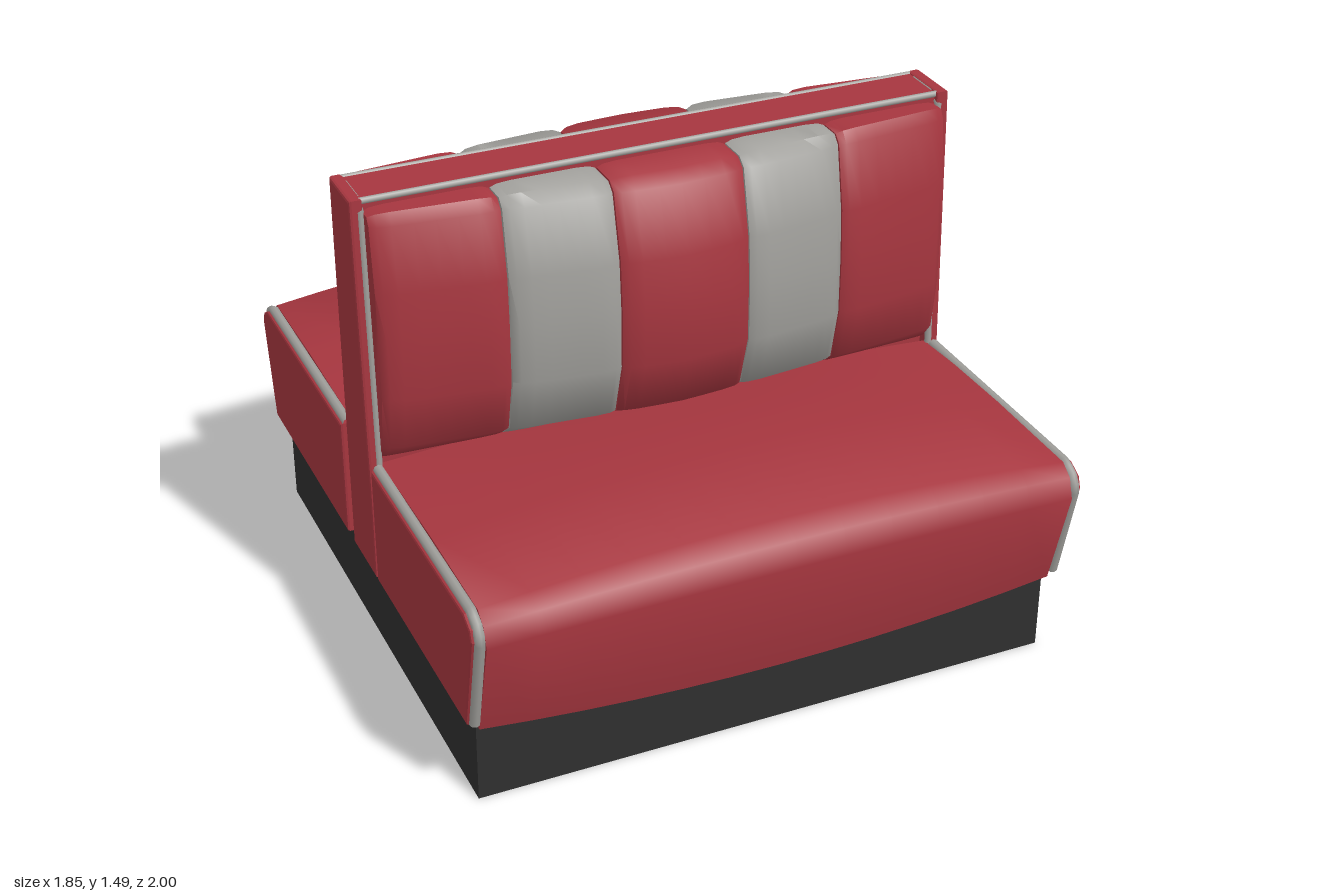
import * as THREE from 'three';
import { toCreasedNormals } from 'three/addons/utils/BufferGeometryUtils.js';

const material = (name, color) => {
  const m = new THREE.MeshStandardMaterial({ color });
  m.name = name;
  return m;
};

// Skin a solid from cross-sections: profile(x) gives [z, y] points for each station
function loft(stations, profile) {
  const rows = stations.map((x) => profile(x).map(([z, y]) => [x, y, z]));
  const n = rows[0].length, last = (rows.length - 1) * n;
  const index = [];
  for (let j = 0; j < rows.length - 1; j++) {
    for (let i = 0; i < n; i++) {
      const a = j * n + i, d = j * n + (i + 1) % n, b = a + n, c = d + n;
      index.push(a, d, c, a, c, b);
    }
  }
  for (let i = 1; i < n - 1; i++) {
    index.push(last, last + i, last + i + 1, 0, i + 1, i);
  }
  const g = new THREE.BufferGeometry();
  g.setAttribute('position', new THREE.Float32BufferAttribute(rows.flat(2), 3));
  g.setIndex(index);
  return toCreasedNormals(g, 0.9);
}

// Flat upholstered panel cut to a [z, y] outline, spanning x0..x1
function sidePanel(outline, x0, x1) {
  const bevel = 0.008;
  const shape = new THREE.Shape(outline.map(([z, y]) => new THREE.Vector2(-z, y)));
  const g = new THREE.ExtrudeGeometry(shape, {
    depth: x1 - x0 - 2 * bevel, bevelThickness: bevel, bevelSize: bevel,
    bevelOffset: -bevel, bevelSegments: 2,
  });
  return g.rotateY(Math.PI / 2).translate(x0 + bevel, 0, 0);
}

// Thin round cord along straight runs
function piping(points, radius) {
  const path = new THREE.CurvePath();
  const v = points.map((p) => new THREE.Vector3(...p));
  for (let i = 0; i < v.length - 1; i++) path.add(new THREE.LineCurve3(v[i], v[i + 1]));
  return new THREE.TubeGeometry(path, 48, radius, 8, false);
}

const range = (a, b, n) => Array.from({ length: n + 1 }, (_, i) => a + (b - a) * i / n);

// Seat cushion section, fuller towards the middle
function seatSection(x) {
  const k = 1 - (x / 0.89) ** 2;
  return [
    [0.85, 0.285], [0.11, 0.285], [0.11, 0.66 + 0.03 * k], [0.3, 0.67 + 0.05 * k],
    [0.55, 0.675 + 0.065 * k], [0.91 + 0.01 * k, 0.67 + 0.055 * k],
    [0.95 + 0.03 * k, 0.64 + 0.045 * k], [0.97 + 0.03 * k, 0.58 + 0.03 * k],
    [0.885 + 0.025 * k, 0.26 - 0.035 * k], [0.86, 0.26 - 0.035 * k],
  ];
}

// Padded back section, dipping at the seams
function backSection(x, dip) {
  const depth = 0.305 - 0.14 * Math.abs(x) ** 1.2 - dip - 0.08;
  const top = 1.46 - dip * 0.6;
  return [
    [0, 0.67], [0, top], [0.53, top], [0.69, 1.425], [0.94, 1.23],
    [1, 1.08], [1, 0.9], [0.74, 0.73], [0.3, 0.68],
  ].map(([f, y]) => [0.08 + depth * f, y]);
}

export function createModel() {
  const red = material('red upholstery', 0xa6363f);
  const grey = material('grey upholstery', 0xa09f9b);
  const dark = material('dark plinth', 0x2f2f2f);

  const model = new THREE.Group();
  model.name = 'doubleBooth';
  const add = (parent, name, geometry, mat) => {
    const mesh = new THREE.Mesh(geometry, mat);
    mesh.name = name;
    parent.add(mesh);
    return mesh;
  };

  // Plinth
  add(model, 'plinth', new THREE.BoxGeometry(1.78, 0.28, 1.71).translate(0, 0.14, 0), dark);

  // Divider between the two benches
  add(model, 'divider', new THREE.BoxGeometry(1.79, 1.205, 0.165).translate(0, 0.8825, 0.0025), red);
  const capOutline = [[-0.08, 0.285], [0.128, 0.285], [0.13, 0.6], [0.098, 1.49], [-0.08, 1.49]];
  const seatOutline = [[0.14, 0.285], [0.885, 0.285], [0.957, 0.6], [0.945, 0.635], [0.9, 0.66], [0.14, 0.66]];

  // Divider end caps with corded edges
  for (const s of [1, -1]) {
    const [x0, x1] = s > 0 ? [0.888, 0.927] : [-0.927, -0.888];
    add(model, 'dividerEndCap', sidePanel(capOutline, x0, x1), red);
    const x = s * 0.895;
    add(model, 'dividerEndPiping', piping([
      [x, 0.29, 0.122], [x, 0.6, 0.124], [x, 1.478, 0.092], [x, 1.478, -0.078], [x, 0.29, -0.078],
    ], 0.011), grey);
  }
  for (const z of [0.082, -0.077]) {
    add(model, 'dividerTopPiping', piping([[-0.895, 1.48, z], [0.895, 1.48, z]], 0.01), grey);
  }

  // Two back-to-back benches
  for (const side of ['front', 'rear']) {
    const bench = new THREE.Group();
    bench.name = side + 'Bench';
    if (side === 'rear') bench.rotation.y = Math.PI;
    model.add(bench);

    add(bench, 'seatCushion', loft(range(-0.89, 0.89, 12), seatSection), red);

    // Five padded channels, alternating in colour
    const seams = [-0.89, -0.52, -0.2, 0.2, 0.52, 0.89];
    for (let i = 0; i < 5; i++) {
      const a = seams[i] + 0.002, b = seams[i + 1] - 0.002;
      const stations = [a, a + 0.02, ...range(a + 0.06, b - 0.06, 4), b - 0.02, b];
      const section = (x) => {
        const edge = Math.min(x - a, b - x);
        return backSection(x, edge < 0.01 ? 0.018 : edge < 0.03 ? 0.005 : 0);
      };
      add(bench, 'backChannel' + (i + 1), loft(stations, section), i % 2 ? grey : red);
    }

    // Seat side panels with corded edges
    for (const s of [1, -1]) {
      const [x0, x1] = s > 0 ? [0.885, 0.927] : [-0.927, -0.885];
      add(bench, 'seatSidePanel', sidePanel(seatOutline, x0, x1), red);
      const path = seatOutline.slice(1).map(([z, y]) => [s * 0.903, y, z]);
      add(bench, 'seatPiping', piping(path, 0.016), grey);
    }
  }
  return model;
}
